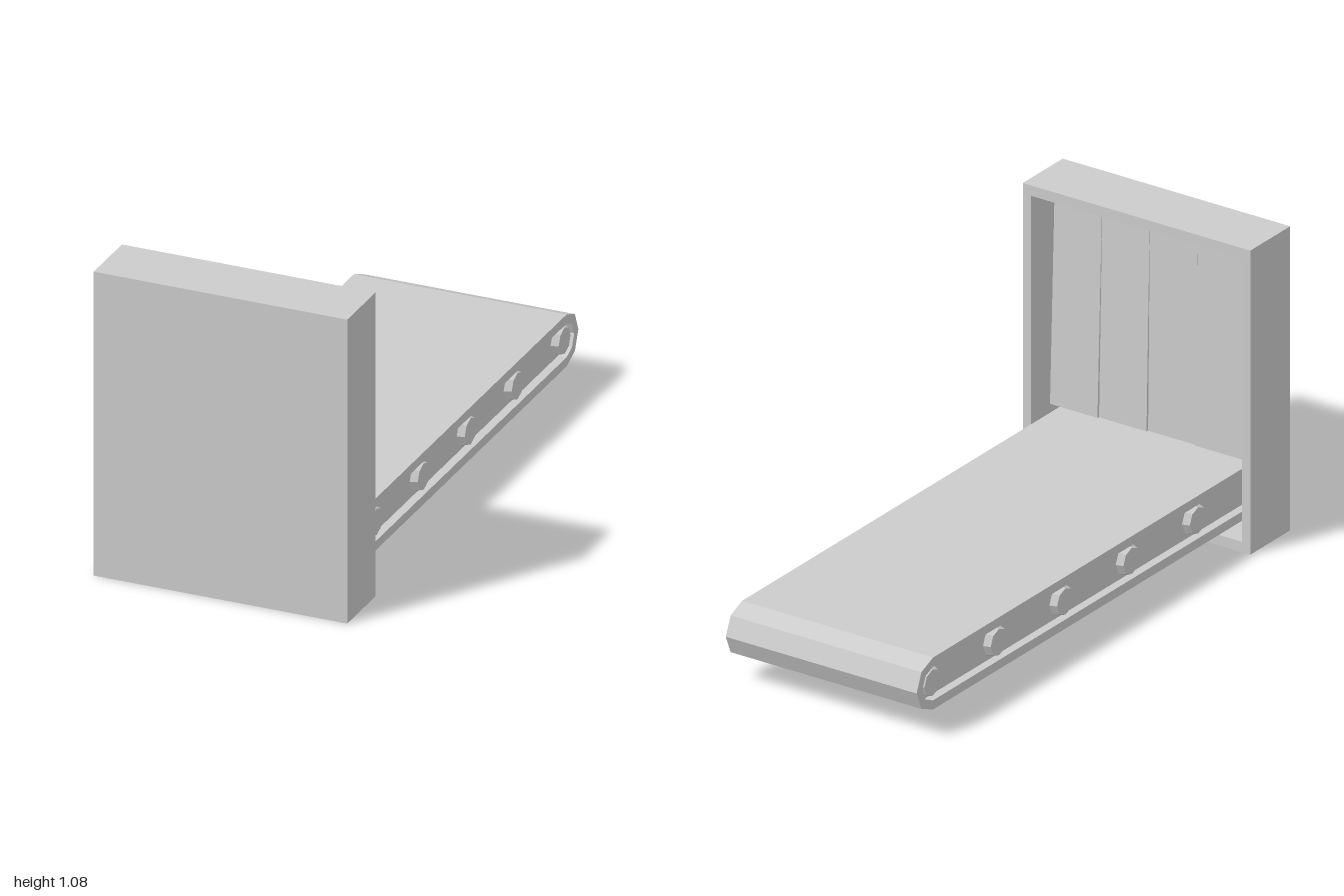
import * as THREE from 'three';

const grey = new THREE.MeshStandardMaterial({ color: 0xcccccc, flatShading: true });
const BELT_Y = 0.172, END_Z = -0.9075, FRONT_Z = 0.97;

function add(parent, name, geometry, x = 0, y = 0, z = 0) {
  const mesh = new THREE.Mesh(geometry, grey);
  mesh.name = name;
  mesh.position.set(x, y, z);
  parent.add(mesh);
  return mesh;
}

// Side outline (z, y) with a half-octagon nose of radius r at the back end
function beltOutline(r) {
  const pts = [new THREE.Vector2(FRONT_Z, BELT_Y + r)];
  for (let i = 0; i <= 4; i++) {
    const a = Math.PI / 2 + i * Math.PI / 4;
    pts.push(new THREE.Vector2(END_Z + r * Math.cos(a), BELT_Y + r * Math.sin(a)));
  }
  pts.push(new THREE.Vector2(FRONT_Z, BELT_Y - r));
  return pts;
}

// Extrudes a (z, y) shape across x, centred
function extrudeAcross(shape, width) {
  return new THREE.ExtrudeGeometry(shape, { depth: width, bevelEnabled: false })
    .translate(0, 0, -width / 2).rotateY(-Math.PI / 2);
}

function rect(path, x0, y0, x1, y1) {
  path.moveTo(x0, y0);
  path.lineTo(x1, y0);
  path.lineTo(x1, y1);
  path.lineTo(x0, y1);
  path.closePath();
  return path;
}

export function createModel() {
  const model = new THREE.Group();
  model.name = 'conveyor';

  // Belt loop and the recessed bed inside it
  const belt = new THREE.Shape(beltOutline(0.0925));
  belt.holes.push(new THREE.Path(beltOutline(0.06)));
  add(model, 'belt', extrudeAcross(belt, 0.75));
  add(model, 'bed', extrudeAcross(new THREE.Shape(beltOutline(0.06)), 0.69));

  // Octagonal roller caps along both sides
  const cap = new THREE.CylinderGeometry(0.047, 0.055, 0.025, 8).rotateZ(-Math.PI / 2);
  for (const side of [1, -1]) {
    for (let i = 0; i < 5; i++) {
      const c = add(model, 'rollerCap', cap, side * 0.3575, BELT_Y, 0.592 - i * 0.3735);
      if (side < 0) c.rotation.y = Math.PI;
    }
  }

  // Portal box, open at the back
  const rim = rect(new THREE.Shape(), -0.447, 0, 0.447, 1.083);
  rim.holes.push(rect(new THREE.Path(), -0.415, 0.037, 0.415, 1.046));
  const portal = new THREE.Group();
  portal.name = 'portal';
  model.add(portal);
  add(portal, 'portalRim', new THREE.ExtrudeGeometry(rim, { depth: 0.195, bevelEnabled: false }), 0, 0, 0.775);
  add(portal, 'portalWall', new THREE.BoxGeometry(0.894, 1.083, 0.03), 0, 0.5415, 0.985);

  // Curtain flaps hanging from the top, each swung slightly differently
  const flap = new THREE.BoxGeometry(0.1865, 0.75, 0.01).translate(0, -0.375, 0);
  [0.022, 0.014, 0.024, 0.034].forEach((swing, i) => {
    const f = add(portal, 'curtainFlap', flap, -0.28125 + i * 0.1875, 1.046, 0.855);
    f.rotation.x = swing;
  });

  return model;
}
